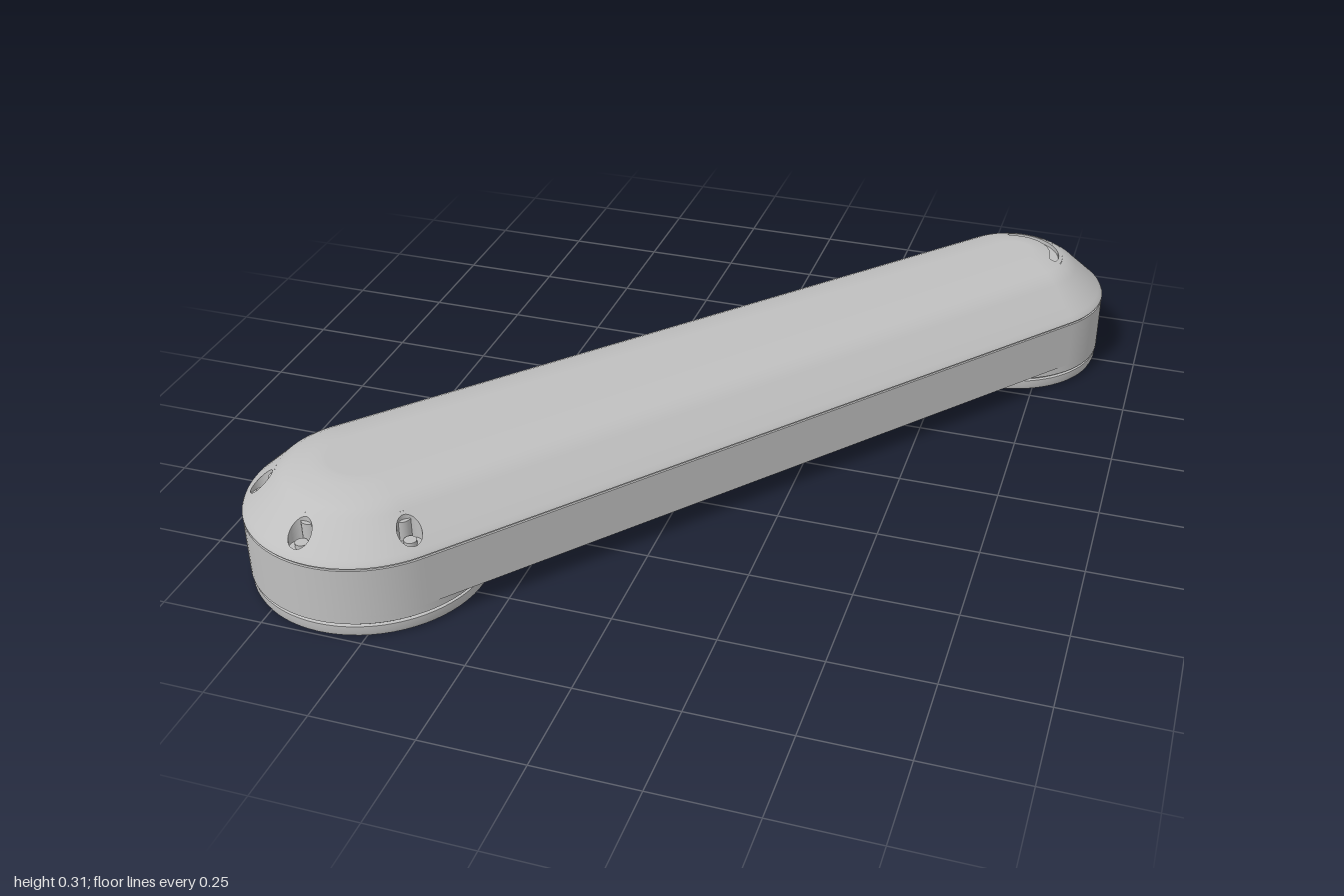
import * as THREE from 'three';
import { toCreasedNormals } from 'three/addons/utils/BufferGeometryUtils.js';

// Local frame: u (= x) runs from the large end to the small end, v = z across.
const LEN = 1.923, R_BIG = 0.285, R_SMALL = 0.25;
const S = (R_BIG - R_SMALL) / LEN, C = Math.sqrt(1 - S * S), PHI = Math.acos(S);
const RHO = 0.24; // radius used to turn angle into length on the large end

// Lid profile: [inset, height]
const LID = [[0, 0.192], [0.003, 0.198], [0.012, 0.206], [0.08, 0.268], [0.1, 0.281],
  [0.118, 0.29], [0.162, 0.302], [0.19, 0.305], [0.2, 0.305]];
const SIDE = [[0, 0.06], [0, 0.186]];
const SEAM = [[0, 0.186], [0.004, 0.187], [0.004, 0.191], [0, 0.192]];

// Recesses cut in the lid: p = angle, w and h = half sizes, W = half width of the patch
const rad = Math.PI / 180;
const HOLES = [90, 150, 210, 270].map(a => ({ end: 0, p: a * rad, rho: RHO, row: 2, d: 0.046, w: 0.028, h: 0.028, W: 0.033, floor: 0.2 }));
HOLES.push({ end: 1, p: 0, rho: 0.11, row: 5, d: 0.14, w: 0.113, h: 0.012, W: 0.121, floor: 0.282 });

// Point and outward direction on the tapered outline at inset d
function outline(end, p, d) {
  if (end === 1) {
    const n = [Math.cos(p), Math.sin(p)];
    return { x: LEN + n[0] * (R_SMALL - d), z: n[1] * (R_SMALL - d), n };
  }
  const r = R_BIG - d, over = Math.max(PHI - p, p - (2 * Math.PI - PHI), 0) * RHO;
  const q = Math.min(Math.max(p, PHI), 2 * Math.PI - PHI), sg = Math.sign(Math.sin(q));
  const n = [Math.cos(q), Math.sin(q)];
  return { x: n[0] * r + over * C, z: n[1] * r - sg * over * S, n };
}

// Ordered outline stations, with the patch borders included
function stations() {
  const list = [];
  for (const [end, a, b] of [[1, -PHI, PHI], [0, PHI - 0.16, 2 * Math.PI - PHI + 0.16]]) {
    const ps = [];
    for (let i = 0; i <= 56; i++) ps.push(a + (b - a) * i / 56);
    for (const h of HOLES) if (h.end === end) ps.push(h.p - h.W / h.rho, h.p + h.W / h.rho);
    ps.sort((i, j) => i - j).forEach(p => list.push({ end, p }));
  }
  return list;
}

// Collects quads with smooth or flat normals
function builder() {
  const pos = [], nor = [];
  return {
    quad(a, b, c, d, flat) {
      if (flat === true) flat = b.p.clone().sub(a.p).cross(c.p.clone().sub(a.p)).normalize();
      for (const v of [a, b, c, a, c, d]) {
        pos.push(...v.p.toArray());
        nor.push(...(flat || v.n).toArray());
      }
    },
    geometry() {
      const g = new THREE.BufferGeometry();
      g.setAttribute('position', new THREE.Float32BufferAttribute(pos, 3));
      g.setAttribute('normal', new THREE.Float32BufferAttribute(nor, 3));
      return g;
    },
  };
}

// Surface vertex at inset d inside profile segment row
function vertex(rows, row, end, p, d, t) {
  const tilt = i => {
    const a = rows[Math.max(i - 1, 0)], b = rows[Math.min(i + 1, rows.length - 1)];
    return Math.atan2(b[1] - a[1], b[0] - a[0]);
  };
  const o = outline(end, p, d), k = tilt(row) * (1 - t) + tilt(row + 1) * t;
  const y = rows[row][1] * (1 - t) + rows[row + 1][1] * t;
  return {
    p: new THREE.Vector3(o.x, y, o.z),
    n: new THREE.Vector3(o.n[0] * Math.sin(k), Math.cos(k), o.n[1] * Math.sin(k)),
  };
}

// Sweeps a profile round the outline, leaving room for the recess patches
function sweep(rows, holes = []) {
  const b = builder(), st = stations();
  st.forEach((s0, i) => {
    const s1 = st[(i + 1) % st.length];
    for (let r = 0; r < rows.length - 1; r++) {
      const mid = (s0.p + s1.p) / 2;
      if (holes.some(h => h.row === r && h.end === s0.end && s1.end === s0.end && Math.abs(mid - h.p) < h.W / h.rho)) continue;
      const v = (s, t) => vertex(rows, r, s.end, s.p, rows[r + t][0], t);
      b.quad(v(s0, 0), v(s0, 1), v(s1, 1), v(s1, 0));
    }
  });
  return b.geometry();
}

// Lid patch around a recess, and the recess walls and floor
function recess(h) {
  const patch = builder(), pit = builder(), N = 64, rim = [], edge = [], base = [];
  const d0 = LID[h.row][0], d1 = LID[h.row + 1][0], mid = (d0 + d1) / 2, H = (d1 - d0) / 2;
  const at = (x, d) => vertex(LID, h.row, h.end, h.p + x / h.rho, d, (d - d0) / (d1 - d0));
  for (let k = 0; k < N; k++) {
    const a = k / N * 2 * Math.PI, m = Math.max(Math.abs(Math.cos(a)), Math.abs(Math.sin(a)));
    const sx = Math.cos(a) / m, sy = Math.sin(a) / m;
    edge.push(at(sx * h.W, mid + sy * H));
    let x = sx * h.w, y = sy * h.h;
    const core = h.w - h.h, e = Math.abs(x) - core;
    if (e > 0) { // rounded ends
      const f = Math.max(e, Math.abs(y)) / Math.hypot(e, y);
      x = Math.sign(x) * (core + e * f);
      y *= f;
    }
    rim.push(at(x, h.d + y));
    base.push({ p: rim[k].p.clone().setY(h.floor) });
  }
  const up = new THREE.Vector3(0, 1, 0);
  for (let k = 0; k < N; k++) {
    const j = (k + 1) % N;
    patch.quad(rim[k], rim[j], edge[j], edge[k]);
    pit.quad(rim[k], base[k], base[j], rim[j], true);
    if (k < N / 2) pit.quad(base[(N - k) % N], base[N - k - 1], base[k + 1], base[k], up);
  }
  return [patch.geometry(), pit.geometry()];
}

export function createModel() {
  const model = new THREE.Group();
  model.name = 'linkArm';
  const grey = new THREE.MeshStandardMaterial({ color: 0xbfbfbf, side: THREE.DoubleSide });
  grey.name = 'light grey';
  const arm = new THREE.Group();
  arm.name = 'arm';
  arm.position.set(-0.605, 0, 0.715);
  arm.rotation.y = Math.atan2(1.465, 1.245);
  model.add(arm);
  const add = (name, geo, x = 0, y = 0, z = 0) => {
    const m = new THREE.Mesh(geo, grey);
    m.name = name;
    m.position.set(x, y, z);
    arm.add(m);
  };

  // Side wall, seam groove and rounded lid
  add('sideWall', sweep(SIDE));
  add('seamGroove', toCreasedNormals(sweep(SEAM), 0.5));
  add('lid', sweep(LID, HOLES));
  const contour = (d, flip) => stations().map(s => {
    const o = outline(s.end, s.p, d);
    return new THREE.Vector2(o.x, o.z * flip);
  });
  add('lidTop', new THREE.ShapeGeometry(new THREE.Shape(contour(0.2, -1))).rotateX(-Math.PI / 2), 0, 0.305, 0);

  // Screw recesses round the large end and the curved slot on the small end
  for (const h of HOLES) {
    const [patch, pit] = recess(h);
    const slot = h.end === 1;
    add(slot ? 'slotSurround' : 'screwSurround', patch);
    add(slot ? 'curvedSlot' : 'screwRecess', pit);
    if (slot) continue;
    const o = outline(0, h.p, h.d);
    add('screwHead', new THREE.CylinderGeometry(0.015, 0.015, 0.012, 20), o.x, 0.206, o.z);
    const q = outline(0, h.p, 0.085);
    add('screwPost', new THREE.CylinderGeometry(0.022, 0.022, 0.12, 20), q.x, 0.19, q.z);
  }

  // Underside with small fastener holes
  const under = new THREE.Shape(contour(0, 1));
  const hole = (x, z, r) => under.holes.push(new THREE.Path().absarc(x, z, r, 0, Math.PI * 2, true));
  hole(0, 0, 0.25);
  for (const [u, v] of [[0.5, 0.21], [0.94, 0.21], [1.63, 0.13]]) for (const sg of [1, -1]) {
    hole(u, v * sg, 0.024);
    const pit = [[0, 0.1], [0.024, 0.1], [0.024, 0.06]].map(q => new THREE.Vector2(...q));
    add('fastenerHole', toCreasedNormals(new THREE.LatheGeometry(pit, 24), 0.6), u, 0, v * sg);
  }
  add('underside', new THREE.ShapeGeometry(under, 32).rotateX(Math.PI / 2), 0, 0.06, 0);

  // Round feet: open socket at the large end, closed pad at the small end
  const foot = r => [[r - 0.014, 0], [r - 0.006, 0.004], [r - 0.003, 0.012], [r - 0.003, 0.03],
    [r - 0.01, 0.032], [r - 0.01, 0.038], [r, 0.04], [r, 0.062]];
  const lathe = pts => toCreasedNormals(new THREE.LatheGeometry(pts.map(q => new THREE.Vector2(...q)), 72), 0.6);
  add('socketFoot', lathe([[0, 0.285], [0.13, 0.275], [0.195, 0.21], [0.225, 0.185], [0.225, 0], ...foot(R_BIG)]));
  add('closedFoot', lathe([[0, 0], ...foot(R_SMALL)]), LEN, 0, 0);
  return model;
}
